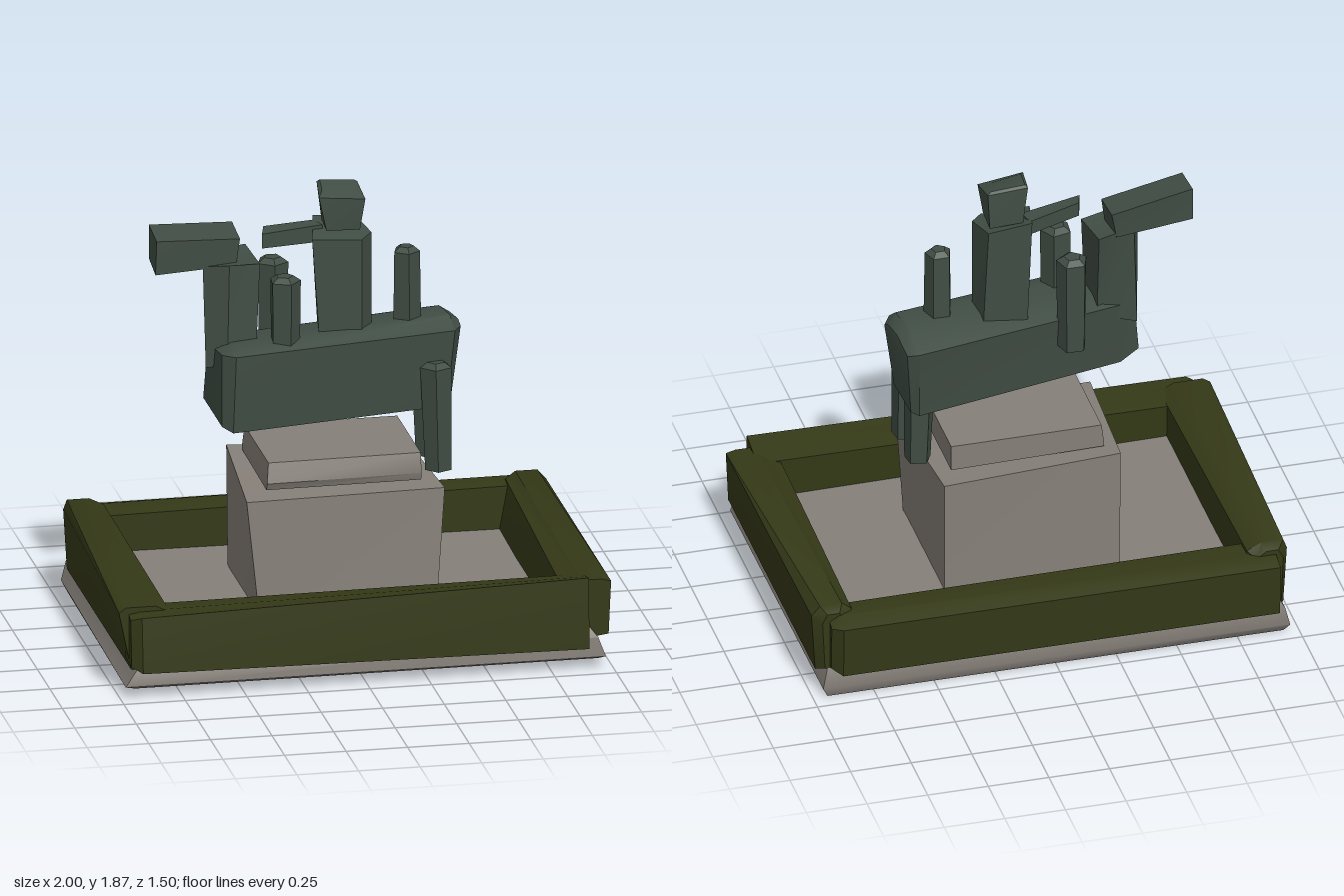
import * as THREE from 'three';
import { toCreasedNormals } from 'three/addons/utils/BufferGeometryUtils.js';

const stone = new THREE.MeshStandardMaterial({ color: 0x857f78 });
const hedge = new THREE.MeshStandardMaterial({ color: 0x343917 });
const bronze = new THREE.MeshStandardMaterial({ color: 0x404d44 });

// Joins rings of [x, y, z] corners into a closed solid, facing outwards.
function loft(name, material, rings) {
  const tris = [];
  const n = rings[0].length;
  const last = rings[rings.length - 1];
  for (let r = 0; r < rings.length - 1; r++) {
    const a = rings[r], b = rings[r + 1];
    for (let i = 0; i < n; i++) {
      const j = (i + 1) % n;
      tris.push([a[i], a[j], b[j]], [a[i], b[j], b[i]]);
    }
  }
  for (let i = 1; i < n - 1; i++) {
    tris.push([rings[0][0], rings[0][i + 1], rings[0][i]], [last[0], last[i], last[i + 1]]);
  }
  // the sign of the volume tells which way the faces wind
  const va = new THREE.Vector3(), vb = new THREE.Vector3(), vc = new THREE.Vector3();
  let volume = 0;
  for (const [a, b, c] of tris) {
    volume += va.fromArray(a).dot(vb.fromArray(b).cross(vc.fromArray(c)));
  }
  if (volume < 0) tris.forEach((t) => t.reverse());
  const geo = new THREE.BufferGeometry();
  geo.setAttribute('position', new THREE.Float32BufferAttribute(tris.flat(2), 3));
  const mesh = new THREE.Mesh(toCreasedNormals(geo, 0.6), material);
  mesh.name = name;
  return mesh;
}

// Cross-sections: [y, z] pairs at one x, or [x, y] pairs at one z.
const atX = (x, pts) => pts.map(([y, z]) => [x, y, z]);
const atZ = (z, pts) => pts.map(([x, y]) => [x, y, z]);

// Five-sided, slightly tapered post with a small bevelled top.
function post(name, x, z, y0, y1, r0, r1, turn, lean = 0) {
  const ring = (y, r, dx) => Array.from({ length: 5 }, (_, i) => {
    const a = turn + (i / 5) * Math.PI * 2;
    return [x + dx + r * Math.cos(a), y, z + r * Math.sin(a)];
  });
  return loft(name, bronze, [ring(y0, r0, 0), ring(y1 - 0.02, r1, lean), ring(y1, r1 * 0.55, lean)]);
}

export function createModel() {
  const model = new THREE.Group();
  model.name = 'equestrianMonument';

  // Stone base, its raised floor inside the hedges, and the pedestal
  model.add(
    loft('baseSlab', stone, [
      [[-0.94, 0.04, 0.68], [0.94, 0.04, 0.67], [0.94, 0, -0.68], [-0.94, 0, -0.68]],
      [[-0.98, 0.05, 0.69], [0.97, 0.05, 0.685], [0.96, 0.04, -0.69], [-0.96, 0.04, -0.71]],
      [[-0.93, 0.12, 0.68], [0.94, 0.13, 0.68], [0.94, 0.13, -0.68], [-0.94, 0.12, -0.71]],
      [[-0.9, 0.2, 0.64], [0.9, 0.18, 0.64], [0.9, 0.18, -0.65], [-0.9, 0.2, -0.67]],
    ]),
    loft('pedestal', stone, [
      [[-0.36, 0.15, 0.32], [0.36, 0.15, 0.3], [0.36, 0.15, -0.32], [-0.36, 0.15, -0.33]],
      [[-0.41, 0.66, 0.3], [0.4, 0.66, 0.27], [0.36, 0.67, -0.32], [-0.37, 0.7, -0.31]],
    ]),
    loft('plinth', stone, [
      [[-0.32, 0.69, 0.25], [0.31, 0.69, 0.24], [0.31, 0.69, -0.24], [-0.32, 0.7, -0.24]],
      [[-0.32, 0.72, 0.265], [0.31, 0.72, 0.25], [0.31, 0.72, -0.24], [-0.32, 0.72, -0.24]],
      [[-0.31, 0.8, 0.24], [0.31, 0.8, 0.23], [0.31, 0.8, -0.24], [-0.31, 0.8, -0.24]],
    ]),
  );

  // Hedges around the base
  model.add(
    loft('frontHedge', hedge, [
      atX(-0.96, [[0.14, 0.71], [0.33, 0.69], [0.345, 0.64], [0.33, 0.56], [0.14, 0.58]]),
      atX(-0.92, [[0.12, 0.745], [0.345, 0.72], [0.35, 0.64], [0.34, 0.53], [0.12, 0.54]]),
      atX(0.9, [[0.09, 0.7], [0.385, 0.69], [0.375, 0.64], [0.35, 0.53], [0.1, 0.54]]),
    ]),
    loft('backHedge', hedge, [
      atX(-0.91, [[0.12, -0.74], [0.34, -0.75], [0.36, -0.68], [0.35, -0.55], [0.1, -0.55]]),
      atX(0.89, [[0.12, -0.74], [0.34, -0.75], [0.37, -0.68], [0.36, -0.58], [0.1, -0.58]]),
      atX(0.93, [[0.14, -0.7], [0.33, -0.71], [0.35, -0.67], [0.34, -0.62], [0.14, -0.62]]),
    ]),
    loft('rightHedge', hedge, [
      atZ(0.65, [[-0.95, 0.11], [-1, 0.35], [-0.97, 0.37], [-0.85, 0.37], [-0.79, 0.34], [-0.79, 0.1]]),
      atZ(-0.64, [[-0.95, 0.11], [-0.965, 0.36], [-0.95, 0.4], [-0.86, 0.4], [-0.8, 0.37], [-0.79, 0.1]]),
      atZ(-0.68, [[-0.93, 0.13], [-0.94, 0.34], [-0.92, 0.38], [-0.87, 0.38], [-0.83, 0.35], [-0.83, 0.13]]),
    ]),
    loft('leftHedge', hedge, [
      atZ(0.64, [[0.99, 0.13], [1, 0.35], [0.96, 0.36], [0.88, 0.36], [0.8, 0.34], [0.78, 0.1]]),
      atZ(-0.64, [[0.98, 0.11], [0.995, 0.36], [0.96, 0.4], [0.87, 0.4], [0.83, 0.37], [0.78, 0.1]]),
      atZ(-0.68, [[0.95, 0.13], [0.96, 0.34], [0.94, 0.38], [0.89, 0.38], [0.86, 0.35], [0.84, 0.13]]),
    ]),
  );

  // Horse
  const horse = new THREE.Group();
  horse.name = 'horse';
  horse.add(
    loft('horseBody', bronze, [
      [[-0.49, 1.25, 0.2], [-0.48, 1.25, 0.14], [-0.49, 1.24, 0], [-0.5, 1.23, -0.04], [-0.52, 1, -0.03], [-0.49, 0.95, 0.2]],
      [[-0.44, 1.25, 0.24], [-0.43, 1.27, 0.16], [-0.44, 1.27, 0], [-0.44, 1.24, -0.07], [-0.44, 0.96, -0.05], [-0.45, 0.93, 0.23]],
      [[0.48, 1.25, 0.08], [0.47, 1.3, 0.02], [0.45, 1.3, -0.1], [0.44, 1.25, -0.24], [0.43, 0.94, -0.2], [0.45, 0.93, 0.06]],
      [[0.515, 1.25, 0.02], [0.51, 1.27, -0.01], [0.495, 1.27, -0.1], [0.485, 1.24, -0.22], [0.46, 0.95, -0.18], [0.47, 0.95, 0.04]],
    ]),
    loft('horseNeck', bronze, [
      [[-0.53, 1.16, 0.07], [-0.45, 1.17, 0.11], [-0.33, 1.2, 0.09], [-0.34, 1.2, -0.06], [-0.5, 1.16, -0.08]],
      [[-0.54, 1.58, 0.06], [-0.44, 1.59, 0.1], [-0.31, 1.58, 0.07], [-0.33, 1.6, -0.13], [-0.49, 1.6, -0.07]],
    ]),
    loft('horseHead', bronze, [
      [[-0.74, 1.57, 0.1], [-0.735, 1.71, 0.1], [-0.735, 1.73, -0.06], [-0.735, 1.59, -0.06]],
      [[-0.4, 1.57, 0.04], [-0.385, 1.68, 0.04], [-0.385, 1.7, -0.12], [-0.41, 1.58, -0.1]],
    ]),
    post('tail', 0.3, -0.01, 1.22, 1.59, 0.06, 0.055, 0.3),
  );
  for (const [side, z] of [['Left', 0.12], ['Right', -0.13]]) {
    horse.add(post('front' + side + 'Leg', -0.22, z, 1.12, 1.54, 0.06, 0.065, 0.2 - z));
  }
  for (const [side, z] of [['Left', 0.09], ['Right', -0.1]]) {
    horse.add(post('hind' + side + 'Leg', 0.41, z, 0.68, 1.13, 0.055, 0.066, 0.5, -0.01));
  }
  model.add(horse);

  // Rider
  const rider = new THREE.Group();
  rider.name = 'rider';
  rider.add(
    loft('riderTorso', bronze, [
      [[-0.07, 1.24, 0.08], [0.1, 1.24, 0.09], [0.15, 1.24, 0.03], [0.14, 1.24, -0.1], [-0.04, 1.24, -0.11]],
      [[-0.1, 1.67, 0.08], [0.1, 1.66, 0.09], [0.15, 1.67, 0.03], [0.12, 1.69, -0.11], [-0.06, 1.71, -0.11]],
    ]),
    loft('riderHead', bronze, [
      [[-0.04, 1.7, 0.07], [0.1, 1.69, 0.05], [0.11, 1.7, -0.09], [-0.03, 1.7, -0.08]],
      [[-0.07, 1.84, 0.07], [0.12, 1.82, 0.06], [0.115, 1.85, -0.08], [-0.05, 1.86, -0.08]],
      [[-0.05, 1.86, 0.03], [0.09, 1.84, 0.02], [0.1, 1.86, -0.07], [-0.04, 1.87, -0.07]],
    ]),
    loft('riderArm', bronze, [
      [[-0.3, 1.64, 0.06], [-0.3, 1.7, 0.06], [-0.28, 1.71, -0.01], [-0.28, 1.65, -0.01]],
      [[-0.04, 1.63, -0.01], [-0.04, 1.7, -0.01], [-0.06, 1.7, -0.08], [-0.06, 1.64, -0.08]],
    ]),
  );
  model.add(rider);

  return model;
}
